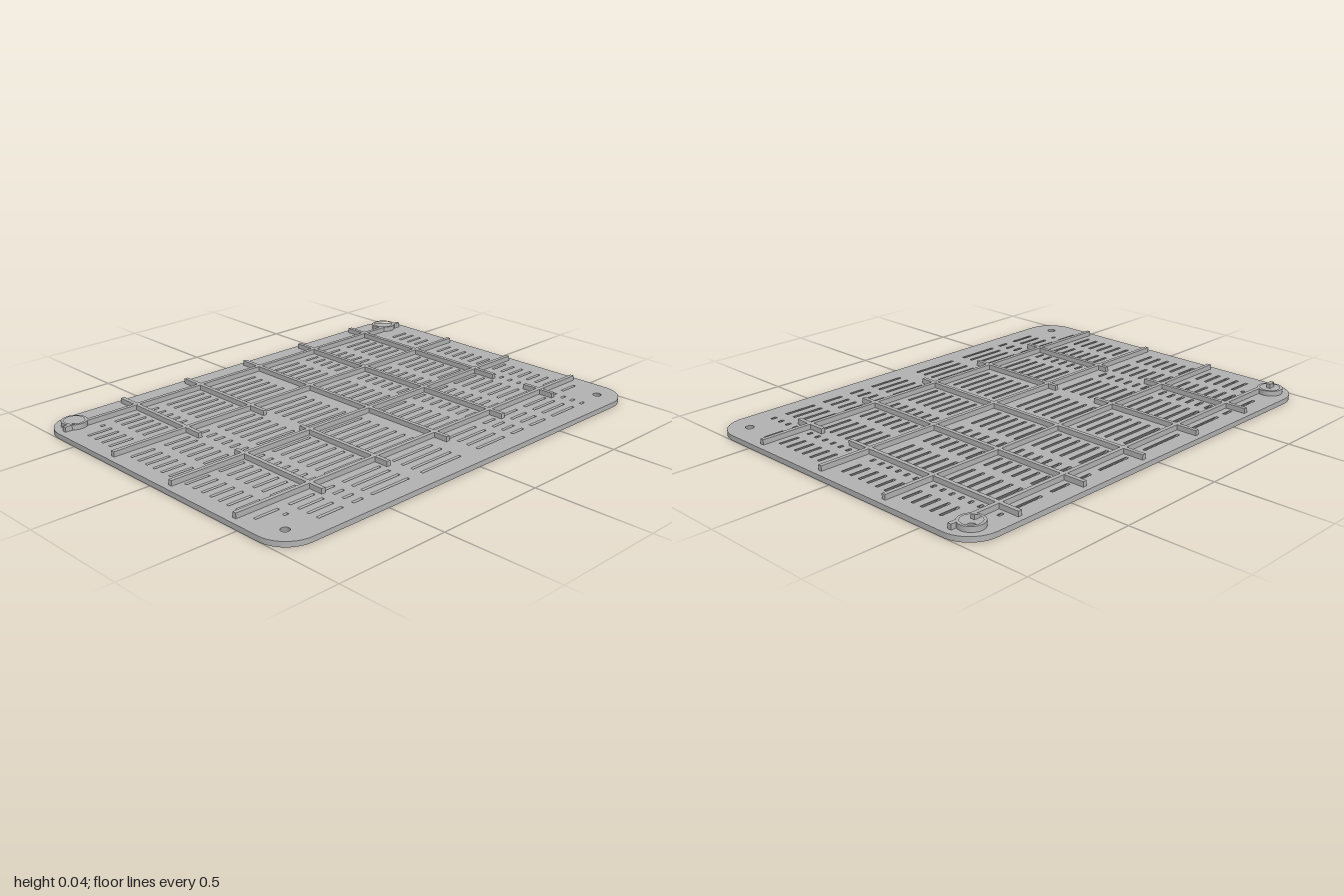
import * as THREE from 'three';
import { mergeGeometries, toCreasedNormals } from 'three/addons/utils/BufferGeometryUtils.js';

const PLATE_H = 0.022, RIB_TOP = 0.044, SLANT = 0.02;
const HALF_X = 1, HALF_Z = 0.74, CORNER = 0.13;

// Loops are points (x, -z): counter-clockwise seen from above.
const V = (x, y) => new THREE.Vector2(x, y);

function circle(x, z, r, n = 24) {
  const pts = [];
  for (let i = 0; i < n; i++) {
    const a = -i / n * Math.PI * 2;
    pts.push(V(x + r * Math.cos(a), -z + r * Math.sin(a)));
  }
  return pts;
}

function roundedOutline() {
  const pts = [], n = 10;
  [[1, 1], [-1, 1], [-1, -1], [1, -1]].forEach(([sx, sy], q) => {
    for (let i = 0; i <= n; i++) {
      const a = (q + i / n) * Math.PI / 2;
      pts.push(V(sx * (HALF_X - CORNER) + CORNER * Math.cos(a),
        sy * (HALF_Z - CORNER) + CORNER * Math.sin(a)));
    }
  });
  return pts;
}

function slot(x0, x1, z, h = 0.0065) {
  return [V(x0, -z - h), V(x0, -z + h), V(x1, -z + h), V(x1, -z - h)];
}

function cap(outer, holes, y, up) {
  const shape = new THREE.Shape(outer);
  shape.holes = holes.map((h) => new THREE.Path(h));
  const g = new THREE.ShapeGeometry(shape).toNonIndexed();
  g.rotateX(-Math.PI / 2).translate(0, y, 0);
  const p = g.attributes.position;
  if (!up) {
    // turn the face downward by swapping two corners
    for (let i = 0; i < p.count; i += 3) {
      const a = [p.getX(i), p.getY(i), p.getZ(i)];
      p.setXYZ(i, p.getX(i + 1), p.getY(i + 1), p.getZ(i + 1));
      p.setXYZ(i + 1, ...a);
    }
  }
  g.deleteAttribute('uv');
  g.deleteAttribute('normal');
  return g;
}

function walls(pairs) {
  const out = [];
  for (const [top, bottom] of pairs) {
    for (let i = 0; i < top.length; i++) {
      const j = (i + 1) % top.length;
      const t0 = [top[i].x, PLATE_H, -top[i].y], t1 = [top[j].x, PLATE_H, -top[j].y];
      const b0 = [bottom[i].x, 0, -bottom[i].y], b1 = [bottom[j].x, 0, -bottom[j].y];
      out.push(...t0, ...b0, ...b1, ...t0, ...b1, ...t1);
    }
  }
  const g = new THREE.BufferGeometry();
  g.setAttribute('position', new THREE.Float32BufferAttribute(out, 3));
  return g;
}

function plateGeometry() {
  const outer = roundedOutline();
  const holes = []; // [top loop, bottom loop]

  // screw holes, slightly wider underneath
  for (const x of [-0.903, 0.9]) for (const z of [-0.645, 0.638]) {
    holes.push([circle(x, z, 0.018), circle(x, z, 0.024)]);
  }

  // slanted vent slots in columns, skipping the rows under the cross ribs
  const columns = [[-0.925, -0.815], [-0.765, -0.645], [-0.595, -0.545], [-0.5, -0.305],
    [-0.235, -0.015], [0.085, 0.25], [0.3, 0.37], [0.42, 0.515], [0.565, 0.71],
    [0.76, 0.785], [0.83, 0.92]];
  const addSlot = (x0, x1, z) => holes.push([slot(x0, x1, z), slot(x0, x1, z + SLANT)]);
  for (let row = 0; row < 28; row++) {
    if ([1, 8, 15, 23].includes(row)) continue;
    const z = -0.657 + row * 0.0484;
    columns.forEach(([x0, x1], c) => {
      const edge = c === 0 || c === columns.length - 1;
      if (!edge || (row > 2 && row < 25)) addSlot(x0, x1, z);
      else if (c === 0 && (row === 2 || row === 25)) addSlot(-0.835, x1, z);
    });
  }
  return toCreasedNormals(mergeGeometries([
    cap(outer, holes.map((h) => h[0]), PLATE_H, true),
    cap(outer, holes.map((h) => h[1]), 0, false),
    walls([[outer, outer], ...holes]),
  ]), 0.6);
}

export function createModel() {
  const model = new THREE.Group();
  const grey = new THREE.MeshStandardMaterial({ color: 0xb3b3b3 });
  grey.name = 'grey plastic';

  const add = (name, geometry, parent = model) => {
    const mesh = new THREE.Mesh(geometry, grey);
    mesh.name = name;
    parent.add(mesh);
    return mesh;
  };
  add('ventPlate', plateGeometry());

  const ribs = new THREE.Group();
  ribs.name = 'ribs';
  model.add(ribs);
  const ribH = RIB_TOP - PLATE_H + 0.001, ribY = RIB_TOP - ribH / 2, ribW = 0.018;

  // ribs across the width; the rear one stops at the screw bosses
  const crossRib = (x0, x1, z) => add('crossRib',
    new THREE.BoxGeometry(x1 - x0, ribH, ribW), ribs).position.set((x0 + x1) / 2, ribY, z);
  for (const z of [-0.275, 0.087, 0.452]) crossRib(-0.972, 0.972, z);
  for (const [x0, x1] of [[-0.972, -0.94], [-0.867, 0.864], [0.937, 0.972]]) crossRib(x0, x1, -0.613);

  // ribs from back to front, some of them interrupted
  const longRibs = [
    [-0.618, [[-0.715, -0.185], [0.037, 0.525]]],
    [-0.28, [[-0.715, -0.185], [0.037, 0.525]]],
    [0.057, [[-0.715, 0.525]]],
    [0.398, [[-0.715, 0.525]]],
    [0.735, [[-0.715, 0.2], [0.372, 0.525]]],
  ];
  for (const [x, spans] of longRibs) for (const [z0, z1] of spans) {
    add('longRib', new THREE.BoxGeometry(ribW, ribH - 0.0002, z1 - z0), ribs)
      .position.set(x, ribY - 0.0001, (z0 + z1) / 2);
  }

  // ring bosses around the rear screw holes
  for (const x of [-0.903, 0.9]) {
    const ring = new THREE.Shape(circle(0, 0, 0.054, 32));
    ring.holes.push(new THREE.Path(circle(0, 0, 0.042, 32)));
    const g = new THREE.ExtrudeGeometry(ring, { depth: ribH, bevelEnabled: false });
    g.rotateX(-Math.PI / 2);
    add('screwBoss', toCreasedNormals(g, 0.6)).position.set(x, RIB_TOP - ribH, -0.645);
  }
  return model;
}
